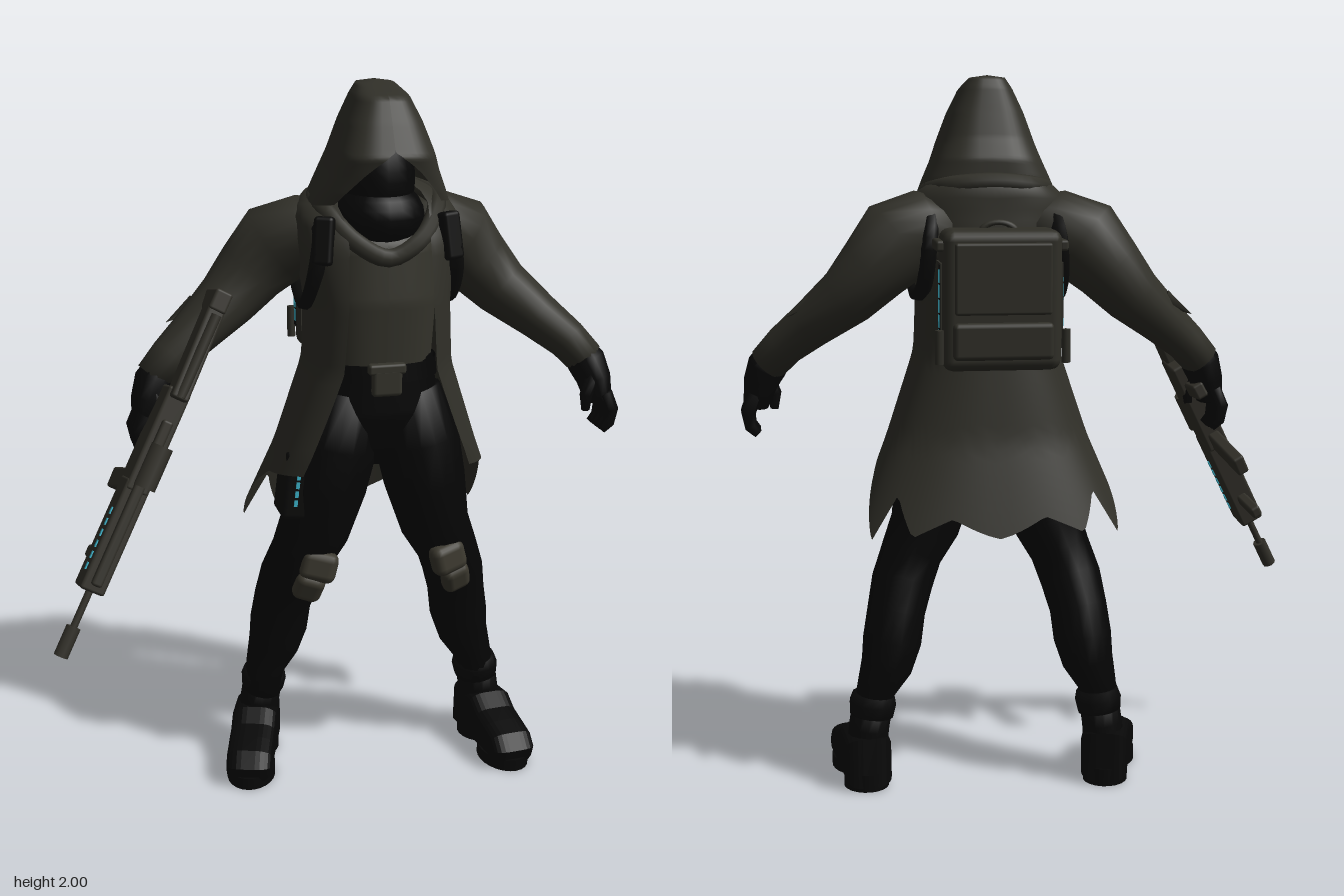
import * as THREE from 'three';
import { RoundedBoxGeometry } from 'three/addons/geometries/RoundedBoxGeometry.js';

const mat = (name, color, side = THREE.FrontSide) => {
  const m = new THREE.MeshStandardMaterial({ color, side });
  m.name = name;
  return m;
};
const CX = 0.12; // body centre line
const V = (x, y, z) => new THREE.Vector3(x, y, z);

function mesh(parent, name, geo, material, pos = [0, 0, 0], rot = [0, 0, 0]) {
  const m = new THREE.Mesh(geo, material);
  m.name = name;
  m.position.set(...pos);
  m.rotation.set(...rot);
  parent.add(m);
  return m;
}

function build(pos, idx) {
  const g = new THREE.BufferGeometry();
  g.setAttribute('position', new THREE.Float32BufferAttribute(pos, 3));
  g.setIndex(idx);
  g.computeVertexNormals();
  return g;
}

// Capped tube through points [x, y, z, radius across, radius in depth]
function limb(pts, n = 14) {
  const pos = [], idx = [], c = pts.map(p => V(p[0], p[1], p[2]));
  pts.forEach((p, i) => {
    const t = c[Math.min(i + 1, c.length - 1)].clone().sub(c[Math.max(i - 1, 0)]).normalize();
    const s = t.clone().cross(V(0, 0, 1)).normalize(), o = t.clone().cross(s);
    for (let j = 0; j < n; j++) {
      const a = j / n * Math.PI * 2;
      const q = c[i].clone().addScaledVector(s, Math.cos(a) * p[3]).addScaledVector(o, Math.sin(a) * (p[4] ?? p[3]));
      pos.push(q.x, q.y, q.z);
      const k = (j + 1) % n, b = i * n;
      if (i < pts.length - 1) idx.push(b + j, b + k, b + n + k, b + j, b + n + k, b + n + j);
    }
  });
  const e = pts.length - 1, m = pos.length / 3;
  pos.push(...c[0].toArray(), ...c[e].toArray());
  for (let j = 0; j < n; j++) {
    const k = (j + 1) % n;
    idx.push(m, k, j, m + 1, e * n + j, e * n + k);
  }
  return build(pos, idx);
}

// Linear lookup in a table sorted by its first column
function sample(rows, v) {
  let i = 0;
  while (i < rows.length - 2 && (v - rows[i + 1][0]) * (rows[1][0] - rows[0][0]) > 0) i++;
  const A = rows[i], B = rows[i + 1], f = THREE.MathUtils.clamp((v - A[0]) / (B[0] - A[0]), 0, 1);
  return A.map((a, k) => a + (B[k] - a) * f);
}

// Garment shell from sections [y, half width, front z, back z, opening angle], top to bottom
function shell(rows, { n = 48, m = 24, hem = null, square = 0.8 } = {}) {
  const pos = [], idx = [], top = rows[0][0], end = rows[rows.length - 1][0];
  const sq = v => Math.sign(v) * Math.abs(v) ** square;
  for (let i = 0; i <= m; i++) for (let j = 0; j <= n; j++) {
    const u = j / n, low = hem ? sample(hem, 1 - Math.abs(2 * u - 1))[1] : end;
    const y = top + (low - top) * i / m, [, rx, zf, zb, gap] = sample(rows, y);
    const a = gap + (Math.PI * 2 - 2 * gap) * u;
    pos.push(CX + rx * sq(Math.sin(a)), y, (zf + zb) / 2 + (zf - zb) / 2 * sq(Math.cos(a)));
    if (i < m && j < n) {
      const p = i * (n + 1) + j, q = p + n + 1;
      idx.push(p, q, q + 1, p, q + 1, p + 1);
    }
  }
  return build(pos, idx);
}

export function createModel() {
  const root = new THREE.Group();
  const coat = mat('coat olive', 0x302f28, THREE.DoubleSide), vest = mat('vest olive', 0x34332b);
  const black = mat('trouser black', 0x050505, THREE.DoubleSide), boot = mat('boot black', 0x070707);
  const strap = mat('strap black', 0x0a0a09), pad = mat('pad olive', 0x3c392f);
  const pack = mat('pack olive', 0x2f2e27), metal = mat('gun olive', 0x33312a);
  const glow = mat('cyan light', 0x3bb0c6);
  const rbox = (w, h, d, r = 0.012) => new RoundedBoxGeometry(w, h, d, 2, r);

  // Head, scarf and hood
  const head = mesh(root, 'head', new THREE.SphereGeometry(1, 20, 16), black, [CX, 1.74, 0.06]);
  head.scale.set(0.1, 0.15, 0.11);
  const scarf = mesh(root, 'scarf', new THREE.SphereGeometry(1, 20, 12), black, [CX, 1.645, 0.07]);
  scarf.scale.set(0.125, 0.095, 0.125);
  mesh(root, 'hood', shell([[2.0, 0.001, 0.02, 0.01, 0], [1.998, 0.045, 0.05, -0.025, 0], [1.965, 0.072, 0.165, -0.042, 0],
    [1.9, 0.104, 0.2, -0.06, 0], [1.83, 0.13, 0.235, -0.08, 0], [1.815, 0.135, 0.243, -0.087, 0.06], [1.77, 0.152, 0.23, -0.107, 0.37],
    [1.72, 0.175, 0.212, -0.108, 0.63], [1.68, 0.192, 0.19, -0.1, 0.8]],
    { m: 40, square: 0.65, hem: [[0, 1.69], [0.25, 1.68], [0.5, 1.7], [1, 1.72]] }), coat);
  const collarPath = new THREE.CatmullRomCurve3([[0, 1.545, 0.185], [0.09, 1.59, 0.175], [0.155, 1.665, 0.1], [0.165, 1.685, 0.02],
    [0.12, 1.7, -0.09], [0, 1.71, -0.115], [-0.12, 1.7, -0.09], [-0.165, 1.685, 0.02], [-0.155, 1.665, 0.1], [-0.09, 1.59, 0.175]]
    .map(p => V(p[0] + CX, p[1], p[2])), true);
  mesh(root, 'collar', new THREE.TubeGeometry(collarPath, 48, 0.025, 8, true), coat);

  // Torso
  mesh(root, 'vest', shell([[1.63, 0.1, 0.13, -0.08, 0], [1.57, 0.16, 0.175, -0.1, 0], [1.42, 0.165, 0.19, -0.11, 0],
    [1.24, 0.155, 0.175, -0.1, 0]]), vest);
  mesh(root, 'hips', shell([[1.26, 0.16, 0.172, -0.1, 0], [1.1, 0.18, 0.175, -0.1, 0], [1.0, 0.15, 0.15, -0.08, 0],
    [0.94, 0.04, 0.1, -0.02, 0]]), black);
  mesh(root, 'belt', shell([[1.25, 0.168, 0.185, -0.11, 0], [1.2, 0.172, 0.187, -0.11, 0]], { m: 1 }), black);
  mesh(root, 'buckle', rbox(0.085, 0.08, 0.03), vest, [CX - 0.005, 1.205, 0.19]);
  mesh(root, 'buckleFlap', rbox(0.105, 0.03, 0.03, 0.008), vest, [CX - 0.005, 1.242, 0.19]);

  // Long coat with a ragged hem, open at the front
  mesh(root, 'coat', shell([[1.73, 0.11, 0.07, -0.115, 0.8], [1.69, 0.2, 0.12, -0.14, 0.6], [1.65, 0.225, 0.17, -0.135, 0.46],
    [1.58, 0.225, 0.21, -0.14, 0.43], [1.42, 0.198, 0.242, -0.14, 0.55], [1.24, 0.205, 0.242, -0.13, 0.6],
    [1.0, 0.285, 0.25, -0.155, 0.8], [0.73, 0.395, 0.21, -0.225, 0.92]], { n: 96, m: 30,
    hem: [[0, 0.95], [0.28, 0.935], [0.42, 0.83], [0.54, 0.735], [0.63, 0.86], [0.74, 0.75], [0.88, 0.8], [1, 0.745]] }), coat);

  for (const s of [1, -1]) {
    const L = s > 0 ? 'left' : 'right';
    const arm = p => [CX + s * p[0], p[1], p[2] - (s < 0 ? Math.max(0, p[0] - 0.25) * 0.22 : 0), p[3], p[4]];
    // The right leg stands a little further back and closer in
    const back = s < 0 ? 1 : 0;
    const leg = p => [CX + s * (p[0] - back * 0.045 * Math.max(0, 0.9 - p[1])), p[1],
      p[2] - back * 0.065 * Math.max(0, 1 - p[1]), p[3], p[4]];

    // Sleeve with torn patches, strap around the shoulder
    mesh(root, L + 'Sleeve', limb([[0.1, 1.58, -0.01, 0.09, 0.11], [0.19, 1.578, -0.035, 0.11, 0.108], [0.262, 1.548, -0.06, 0.12, 0.1],
      [0.326, 1.475, -0.06, 0.1, 0.094], [0.395, 1.4, -0.035, 0.084, 0.09], [0.49, 1.322, 0.02, 0.067, 0.08],
      [0.565, 1.26, 0.06, 0.058, 0.068], [0.615, 1.205, 0.08, 0.054, 0.06]].map(arm), 18), coat);
    for (const [x, y, z] of [[0.525, 1.365, -0.02], [0.35, 1.54, -0.08]]) {
      const a = arm([x, y, z]);
      mesh(root, L + 'TornPatch', new THREE.ConeGeometry(0.025, 0.1, 4), coat, a.slice(0, 3), [-0.3, 0, -s * 2.1]);
    }
    const loop = new THREE.CatmullRomCurve3([[0.17, 1.63, 0.04], [0.18, 1.61, 0.15], [0.195, 1.52, 0.165], [0.2, 1.41, 0.07],
      [0.19, 1.43, -0.09], [0.18, 1.55, -0.145], [0.17, 1.63, -0.09]].map(p => V(CX + s * p[0], p[1], p[2])), true);
    mesh(root, L + 'ShoulderStrap', new THREE.TubeGeometry(loop, 32, 0.022, 6, true), strap);
    mesh(root, L + 'StrapPouch', rbox(0.055, 0.13, 0.045), strap, [CX + s * 0.175, 1.595, 0.165], [-0.2, s * 0.4, s * 0.1]);

    // Glove
    mesh(root, L + 'Glove', limb([[0.59, 1.24, 0.07, 0.045, 0.05], [0.615, 1.2, 0.085, 0.056, 0.06], [0.635, 1.15, 0.1, 0.048, 0.06],
      [0.648, 1.09, 0.11, 0.036, 0.058]].map(arm)), boot);
    for (let f = 0; f < 4; f++) {
      const z = 0.066 + f * 0.028;
      mesh(root, L + 'Finger', limb([[0.65, 1.12, z, 0.022], [0.672, 1.07, z, 0.021], [0.665, 1.03, z, 0.018],
        [0.645, 1.01, z, 0.013]].map(arm), 7), boot);
    }
    mesh(root, L + 'Thumb', limb([[0.62, 1.17, 0.13, 0.022], [0.595, 1.115, 0.145, 0.019], [0.598, 1.07, 0.14, 0.012]].map(arm), 7), boot);

    // Trouser leg and knee pad
    mesh(root, L + 'Leg', limb([[0.09, 1.14, 0.04, 0.1, 0.12], [0.12, 1.0, 0.06, 0.122, 0.13], [0.145, 0.88, 0.06, 0.117, 0.13],
      [0.18, 0.74, 0.05, 0.1, 0.122], [0.22, 0.66, 0.045, 0.088, 0.108], [0.25, 0.58, 0.02, 0.088, 0.1],
      [0.27, 0.5, -0.005, 0.083, 0.093], [0.283, 0.42, -0.015, 0.084, 0.098], [0.3, 0.35, -0.02, 0.074, 0.09],
      [0.33, 0.28, -0.015, 0.056, 0.072], [0.345, 0.2, -0.01, 0.053, 0.065]].map(leg), 18), black);
    const k = leg([0.205, 0.63, 0.14]);
    mesh(root, L + 'KneePad', rbox(0.105, 0.09, 0.06, 0.025), pad, [k[0] - s * 0.012, k[1] + 0.03, k[2] + 0.012], [-0.1, s * 0.25, s * 0.25]);
    mesh(root, L + 'KneePadLower', rbox(0.085, 0.09, 0.055, 0.025), pad, [k[0] + s * 0.015, k[1] - 0.035, k[2]], [0.35, s * 0.25, s * 0.25]);

    // Boot: shaft, cuff, foot and sole
    const foot = new THREE.Group();
    foot.name = L + 'Boot';
    foot.position.set(CX + s * (0.36 - back * 0.035), 0, -back * 0.065);
    foot.rotation.y = s * (0.1 + back * 0.2);
    root.add(foot);
    mesh(foot, 'shaft', limb([[-s * 0.018, 0.25, -0.02, 0.058, 0.07], [-s * 0.005, 0.17, -0.02, 0.058, 0.07], [s * 0.005, 0.06, -0.015, 0.06, 0.078]]), boot);
    mesh(foot, 'cuff', limb([[-s * 0.02, 0.265, -0.02, 0.06, 0.07], [-s * 0.017, 0.24, -0.02, 0.067, 0.078], [-s * 0.013, 0.205, -0.02, 0.062, 0.072]]), boot);
    const prof = new THREE.Shape([[-0.07, 0.035], [-0.065, 0.13], [0.045, 0.14], [0.09, 0.112], [0.15, 0.098],
      [0.2, 0.085], [0.222, 0.06], [0.215, 0.04]].map(p => new THREE.Vector2(...p)));
    const ext = { bevelEnabled: true, bevelSize: 0.025, bevelThickness: 0.045, bevelSegments: 5 };
    mesh(foot, 'upper', new THREE.ExtrudeGeometry(prof, { depth: 0.04, ...ext }).translate(0, 0, -0.02), boot, [s * 0.005, 0, 0], [0, -Math.PI / 2, 0]);
    mesh(foot, 'frontSole', new THREE.CylinderGeometry(1, 1, 0.035, 24), boot, [s * 0.005, 0.0175, 0.15]).scale.set(0.07, 1, 0.1);
    mesh(foot, 'heel', new THREE.CylinderGeometry(1, 1, 0.05, 20), boot, [s * 0.005, 0.025, -0.025]).scale.set(0.064, 1, 0.075);
  }

  // Thigh pouch with lights
  const pouch = new THREE.Group();
  pouch.name = 'thighPouch';
  pouch.position.set(-0.11, 0.9, 0.08);
  pouch.rotation.z = -0.12;
  root.add(pouch);
  mesh(pouch, 'pouchBody', rbox(0.1, 0.19, 0.12, 0.015), strap);
  mesh(pouch, 'pouchFlap', rbox(0.11, 0.05, 0.13, 0.012), strap, [0, 0.08, 0]);
  for (let i = 0; i < 4; i++) mesh(pouch, 'pouchLight', new THREE.BoxGeometry(0.01, 0.018, 0.006), glow, [-0.014, -0.045 + i * 0.026, 0.061]);

  // Backpack
  const bag = new THREE.Group();
  bag.name = 'backpack';
  bag.position.set(CX, 1.4, -0.215);
  bag.rotation.x = -0.05;
  root.add(bag);
  mesh(bag, 'bagBody', rbox(0.32, 0.375, 0.14, 0.03), pack);
  mesh(bag, 'upperPanel', rbox(0.26, 0.19, 0.02, 0.008), pack, [0, 0.06, -0.07]);
  mesh(bag, 'lowerPocket', rbox(0.27, 0.1, 0.035, 0.014), pack, [0, -0.105, -0.07]);
  mesh(bag, 'handle', new THREE.TorusGeometry(0.045, 0.012, 6, 14, Math.PI), pack, [0, 0.175, 0.03]).scale.y = 0.6;
  for (const s of [1, -1]) {
    mesh(bag, 'sidePanel', new THREE.BoxGeometry(0.009, 0.23, 0.09), pack, [s * 0.16, -0.015, 0.005]);
    mesh(bag, 'lightSlot', new THREE.BoxGeometry(0.004, 0.22, 0.028), strap, [s * 0.164, -0.015, -0.022]);
    for (let i = 0; i < 5; i++) mesh(bag, 'sideLight', new THREE.BoxGeometry(0.006, 0.034, 0.015), glow, [s * 0.165, -0.095 + i * 0.04, -0.022]);
    mesh(bag, 'sideRod', new THREE.CylinderGeometry(0.012, 0.012, 0.09, 8), pack, [s * 0.17, -0.12, -0.06]);
    mesh(bag, 'sideClip', rbox(0.025, 0.03, 0.1, 0.008), pack, [s * 0.165, 0.145, 0]);
  }

  // Rifle: local z runs from muzzle to stock, y is its top
  const gun = new THREE.Group();
  gun.name = 'rifle';
  const d = V(0.5, 0.92, -0.25).normalize(), up = V(0, 0, 1).addScaledVector(d, -d.z).normalize();
  gun.quaternion.setFromRotationMatrix(new THREE.Matrix4().makeBasis(up.clone().cross(d), up, d));
  gun.position.set(-0.805, 0.53, 0.28);
  root.add(gun);
  const rod = (name, r, from, to, y) =>
    mesh(gun, name, new THREE.CylinderGeometry(r, r, to - from, 10), metal, [0, y, (from + to) / 2], [Math.PI / 2, 0, 0]);
  const block = (name, w, h, len, y, z, rx = 0) => mesh(gun, name, rbox(w, h, len, 0.008), metal, [0, y, z], [rx, 0, 0]);
  rod('muzzleBrake', 0.02, 0, 0.085, 0);
  rod('barrel', 0.01, 0.05, 0.25, 0);
  block('handguard', 0.07, 0.085, 0.32, -0.01, 0.35);
  block('topRail', 0.03, 0.025, 0.48, 0.04, 0.45);
  block('receiver', 0.065, 0.1, 0.3, -0.015, 0.63);
  block('foregrip', 0.03, 0.12, 0.035, -0.1, 0.28);
  block('magazine', 0.035, 0.2, 0.06, -0.14, 0.5, 0.1);
  block('pistolGrip', 0.035, 0.12, 0.045, -0.1, 0.71, -0.25);
  rod('scope', 0.03, 0.5, 0.62, 0.09);
  block('scopeMount', 0.025, 0.05, 0.05, 0.055, 0.56);
  rod('stockTube', 0.014, 0.76, 1.0, 0.055);
  block('stock', 0.05, 0.07, 0.3, 0.015, 0.9, 0.08);
  block('buttPlate', 0.05, 0.14, 0.06, -0.025, 1.04);
  for (const s of [1, -1]) for (let i = 0; i < 6; i++)
    mesh(gun, 'rifleLight', new THREE.BoxGeometry(0.005, 0.01, 0.02), glow, [s * 0.036, 0.005, 0.25 + i * 0.032]);

  return root;
}
